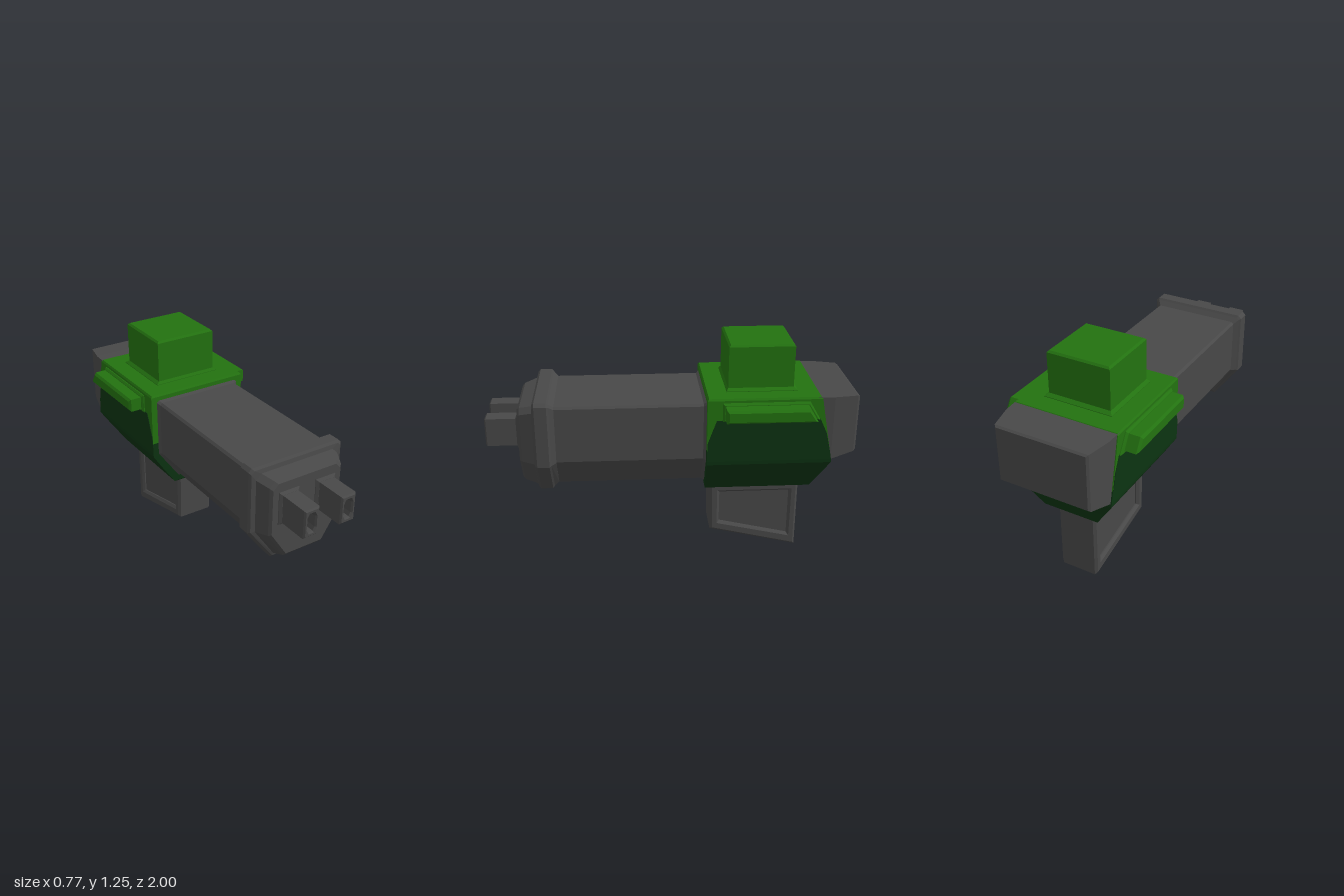
import * as THREE from 'three';

// Skin a list of equal-length rings (counter-clockwise seen from the direction of travel), with flat facets.
function loft(rings) {
  const pos = [];
  const tri = (a, b, c) => pos.push(...a, ...b, ...c);
  const n = rings[0].length;
  for (let k = 0; k < rings.length - 1; k++) {
    for (let i = 0; i < n; i++) {
      const j = (i + 1) % n, p = rings[k], q = rings[k + 1];
      tri(p[i], p[j], q[j]);
      tri(p[i], q[j], q[i]);
    }
  }
  const first = rings[0], last = rings[rings.length - 1];
  for (let i = 1; i < n - 1; i++) {
    tri(first[0], first[i + 1], first[i]);
    tri(last[0], last[i], last[i + 1]);
  }
  const g = new THREE.BufferGeometry();
  g.setAttribute('position', new THREE.Float32BufferAttribute(pos, 3));
  g.computeVertexNormals();
  return g;
}

// Shield-shaped section across z: straight sides, tapered lower half, clipped top corners.
const shield = (z, w, top, mid, bottom, wb, c = 0.012) => [
  [-wb, bottom, z], [wb, bottom, z], [w, mid, z], [w, top - c, z],
  [w - c, top, z], [-w + c, top, z], [-w, top - c, z], [-w, mid, z],
];

// Rectangular sections across z and across y.
const rectZ = (z, w, y0, y1) => [[-w, y0, z], [w, y0, z], [w, y1, z], [-w, y1, z]];
const rectY = (y, w, zf, zb) => [[-w, y, zf], [w, y, zf], [w, y, zb], [-w, y, zb]];

const outline = (pts) => new THREE.Shape(pts.map(([x, y]) => new THREE.Vector2(x, y)));

// Extrude a side outline given as (-z, y) points, spanning x0 to x1.
function sideExtrude(pts, x0, x1, bevel = 0, hole = null) {
  const shape = outline(pts);
  if (hole) shape.holes.push(outline(hole));
  const g = new THREE.ExtrudeGeometry(shape, {
    depth: x1 - x0 - 2 * bevel, bevelEnabled: bevel > 0, bevelSize: bevel,
    bevelThickness: bevel, bevelOffset: -bevel, bevelSegments: 1,
  });
  g.translate(0, 0, x0 + bevel);
  g.rotateY(Math.PI / 2);
  return g;
}

export function createModel() {
  const model = new THREE.Group();
  model.name = 'blaster';
  const material = (name, color) => {
    const m = new THREE.MeshStandardMaterial({ color });
    m.name = name;
    return m;
  };
  const grey = material('darkGrey', 0x484848);
  const green = material('green', 0x237210);
  const darkGreen = material('darkGreen', 0x0c3312);
  const add = (name, geometry, mat) => {
    const mesh = new THREE.Mesh(geometry, mat);
    mesh.name = name;
    model.add(mesh);
    return mesh;
  };

  // Barrel, flaring slightly where it meets the body
  add('barrel', loft([
    shield(-0.20, 0.262, 0.972, 0.64, 0.458, 0.135),
    shield(-0.185, 0.262, 0.972, 0.64, 0.458, 0.135),
    shield(-0.17, 0.25, 0.96, 0.645, 0.468, 0.13),
    shield(0.65, 0.25, 0.96, 0.645, 0.468, 0.13),
  ]), grey);

  // Muzzle collar and tapered nose
  add('muzzleCollar', loft([
    shield(0.62, 0.25, 0.96, 0.64, 0.468, 0.13),
    shield(0.645, 0.272, 0.982, 0.635, 0.443, 0.13),
    shield(0.655, 0.282, 0.993, 0.63, 0.432, 0.137, 0.018),
    shield(0.72, 0.282, 0.993, 0.63, 0.432, 0.137, 0.018),
    shield(0.732, 0.272, 0.982, 0.635, 0.443, 0.132, 0.018),
    shield(0.737, 0.248, 0.96, 0.635, 0.462, 0.13, 0.03),
    shield(0.805, 0.218, 0.94, 0.64, 0.485, 0.12, 0.03),
    shield(0.818, 0.205, 0.928, 0.645, 0.5, 0.112, 0.03),
  ]), grey);

  // Twin hollow prongs, each with a flared foot and an oval core
  for (const side of [-1, 1]) {
    const prong = new THREE.Group();
    prong.name = side > 0 ? 'leftProng' : 'rightProng';
    prong.position.set(side * 0.111, 0.787, 0);
    const part = (name, geometry) => {
      const mesh = new THREE.Mesh(geometry, grey);
      mesh.name = name;
      prong.add(mesh);
    };
    const shape = outline([[-0.045, -0.078], [0.045, -0.078], [0.045, 0.078], [-0.045, 0.078]]);
    shape.holes.push(outline([
      [-0.012, -0.05], [0.012, -0.05], [0.022, -0.03], [0.022, 0.03],
      [0.012, 0.05], [-0.012, 0.05], [-0.022, 0.03], [-0.022, -0.03],
    ]));
    const tube = new THREE.ExtrudeGeometry(shape, {
      depth: 0.18, bevelSize: 0.008, bevelThickness: 0.008, bevelOffset: -0.008, bevelSegments: 1,
    });
    tube.translate(0, 0, 0.812);
    part('prongTube', tube);
    part('prongFoot', loft([
      rectZ(0.80, 0.06, -0.091, 0.091), rectZ(0.822, 0.06, -0.091, 0.091), rectZ(0.832, 0.046, -0.079, 0.079),
    ]));
    const core = new THREE.CylinderGeometry(0.018, 0.018, 0.05, 16);
    core.rotateX(Math.PI / 2).scale(1, 2.4, 1).translate(0, 0, 0.85);
    part('prongCore', core);
    model.add(prong);
  }

  // Body: dark lower hull and green upper housing
  add('lowerHull', loft([
    rectY(0.408, 0.135, -0.205, -0.77),
    rectY(0.42, 0.16, -0.192, -0.782),
    rectY(0.52, 0.228, -0.187, -0.82),
    rectY(0.625, 0.295, -0.185, -0.862),
    rectY(0.645, 0.297, -0.185, -0.86),
    rectY(0.71, 0.297, -0.185, -0.847),
  ]), darkGreen);
  add('upperHousing', loft([
    rectY(0.71, 0.297, -0.185, -0.847),
    rectY(0.995, 0.297, -0.185, -0.792),
    rectY(1.005, 0.29, -0.192, -0.785),
  ]), green);

  // Dark side panels and bevelled side rails, mirrored
  const panel = [[0.187, 0.71], [0.846, 0.71], [0.825, 0.8], [0.785, 0.885], [0.235, 0.885], [0.187, 0.75]];
  const railFoot = [[0.265, 0.88], [0.785, 0.88], [0.725, 0.983], [0.265, 0.983]];
  const rail = [[0.278, 0.897], [0.758, 0.897], [0.715, 0.97], [0.278, 0.97]];
  for (const side of [-1, 1]) {
    const prefix = side > 0 ? 'left' : 'right';
    const span = (a, b) => (side > 0 ? [a, b] : [-b, -a]);
    add(prefix + 'Panel', sideExtrude(panel, ...span(0.294, 0.3)), darkGreen);
    add(prefix + 'RailFoot', sideExtrude(railFoot, ...span(0.28, 0.312), 0.01), green);
    add(prefix + 'Rail', sideExtrude(rail, ...span(0.29, 0.385), 0.012), green);
  }

  // Sight block on top, with a low flared foot
  add('sightBlock', loft([
    rectY(0.99, 0.195, -0.295, -0.677),
    rectY(1.008, 0.195, -0.295, -0.677),
    rectY(1.022, 0.178, -0.305, -0.657),
    rectY(1.247, 0.178, -0.305, -0.657),
    rectY(1.257, 0.168, -0.315, -0.647),
  ]), green);

  // Tapered rear block
  add('rearBlock', loft([
    rectZ(-1.0, 0.252, 0.683, 0.988),
    rectZ(-0.988, 0.262, 0.673, 0.996),
    rectZ(-0.86, 0.29, 0.642, 1.0),
    rectZ(-0.77, 0.294, 0.625, 1.002),
  ]), grey);

  // Grip with a recessed panel on each side
  const grip = [[0.225, 0.43], [0.23, 0.122], [0.733, 0.002], [0.733, 0.43]];
  const recess = [[0.283, 0.36], [0.283, 0.172], [0.683, 0.078], [0.683, 0.36]];
  add('gripFrame', sideExtrude(grip, -0.113, 0.113, 0.014, recess), grey);
  add('gripPanel', sideExtrude(recess, -0.092, 0.092), grey);

  return model;
}
